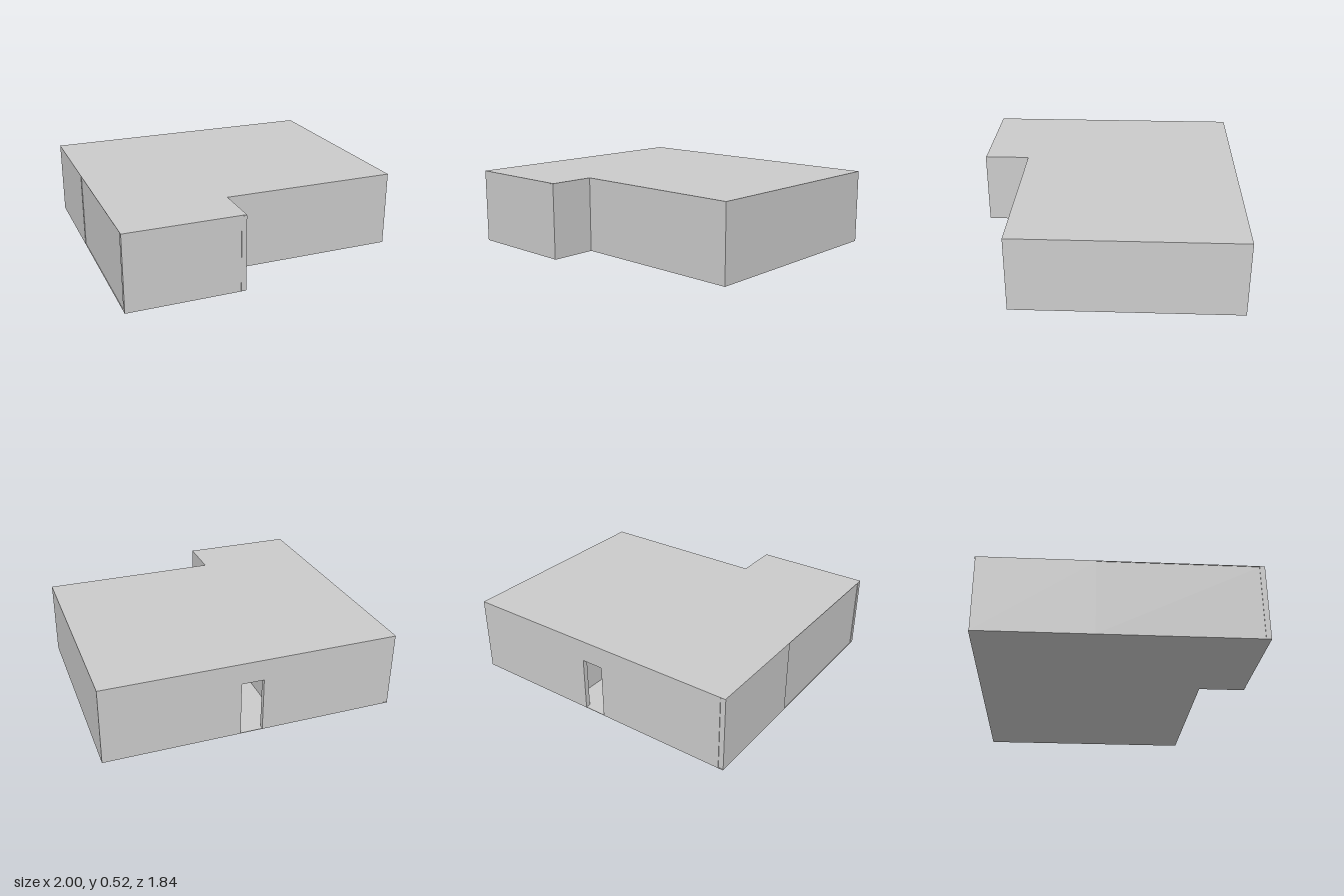
import * as THREE from 'three';

const H = 0.52, SLAB = 0.004, T = 0.034;
const L = -1, R = 1, BACK = -0.92, FRONT = 0.6, WING = 0.915, NOTCH = -0.21;

export function createModel() {
  const group = new THREE.Group();
  const mat = new THREE.MeshStandardMaterial({ color: 0xcccccc });
  const add = (name, geo) => {
    const mesh = new THREE.Mesh(geo, mat);
    mesh.name = name;
    group.add(mesh);
    return mesh;
  };

  // Box given by its extents in plan and height
  const wall = (name, x0, x1, z0, z1, y0 = SLAB, y1 = H - SLAB) =>
    add(name, new THREE.BoxGeometry(x1 - x0, y1 - y0, z1 - z0))
      .position.set((x0 + x1) / 2, (y0 + y1) / 2, (z0 + z1) / 2);

  // L-shaped floor and flat roof
  const plan = new THREE.Shape([
    [L, BACK], [R, BACK], [R, FRONT], [NOTCH, FRONT], [NOTCH, WING], [L, WING],
  ].map(([x, z]) => new THREE.Vector2(x, -z)));
  const slab = (name, y) => {
    const geo = new THREE.ExtrudeGeometry(plan, { depth: SLAB, bevelEnabled: false });
    geo.rotateX(-Math.PI / 2);
    add(name, geo).position.y = y;
  };
  slab('floor', 0);
  slab('roof', H - SLAB);

  // Back wall with its doorway
  const door = [-0.066, 0.086], doorTop = 0.375;
  wall('backWallRight', L + T, door[0], BACK, BACK + T);
  wall('backWallLeft', door[1], R, BACK, BACK + T);
  wall('doorLintel', door[0], door[1], BACK, BACK + T, doorTop);

  // Side walls; the right one is in two lengths with a slight step
  const split = -0.16;
  wall('rightWallRear', L, L + T, BACK + 0.004, split);
  wall('rightWallFront', L + 0.004, L + T, split, WING - T);
  wall('leftWall', R - T, R, BACK + T, FRONT - T);

  // Front walls around the notch
  wall('wingFrontWall', L, NOTCH - T, WING - T, WING);
  wall('wingSideWall', NOTCH - T, NOTCH, FRONT - T, WING + 0.004);
  wall('mainFrontWall', NOTCH, R, FRONT - T, FRONT);

  // Inner partitions beside the entrance hall
  wall('hallPartitionRight', NOTCH - T, NOTCH, BACK + T, FRONT - T);
  wall('hallPartitionLeft', 0.22, 0.22 + T, BACK + T, split);
  wall('crossPartition', L + T, NOTCH - T, split - T, split);

  return group;
}
